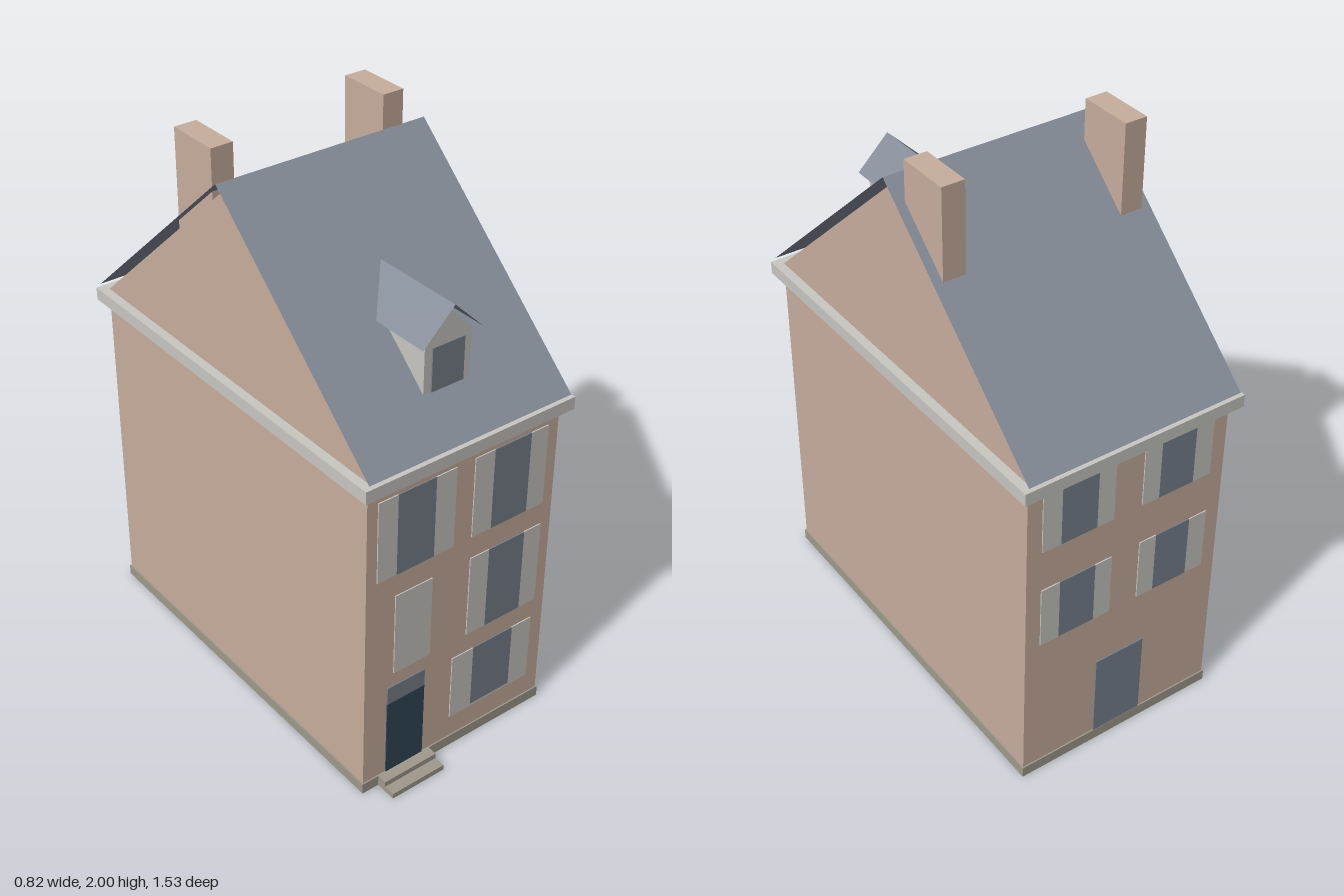
import * as THREE from 'three';

const mat = (name, color, side = THREE.FrontSide) => {
  const m = new THREE.MeshStandardMaterial({ color, side });
  m.name = name;
  return m;
};

export function createModel() {
  const brick = mat('brick', 0xc8ae9e, THREE.DoubleSide);
  const slate = mat('slate', 0x848c97, THREE.DoubleSide);
  const trim = mat('pale trim', 0xc8c7c2, THREE.DoubleSide);
  const glass = mat('window glass', 0x79828d);
  const navy = mat('navy door', 0x314858);
  const stone = mat('stone', 0x9f9a8c);

  const house = new THREE.Group();
  house.name = 'townHouse';
  const ZC = -0.024;             // middle of the house in depth
  const WX = 0.38, WZ = 0.709;   // half width and half depth of the walls

  const add = (name, geometry, material, parent = house) => {
    const mesh = new THREE.Mesh(geometry, material);
    mesh.name = name;
    parent.add(mesh);
    return mesh;
  };
  // Box given by its limits on each axis
  const box = (name, material, [x0, x1], [y0, y1], [z0, z1], parent) => {
    const g = new THREE.BoxGeometry(x1 - x0, y1 - y0, z1 - z0);
    g.translate((x0 + x1) / 2, (y0 + y1) / 2, (z0 + z1) / 2);
    return add(name, g, material, parent);
  };
  const polygon = (points) => new THREE.Shape(points.map(([x, y]) => new THREE.Vector2(x, y)));
  const rect = (x, y) => polygon([[-x, -y], [x, -y], [x, y], [-x, y]]);
  // Open rectangular ring of walls standing on y = 0
  const ring = (name, material, x, z, thick, height) => {
    const shape = rect(x, z);
    shape.holes.push(rect(x - thick, z - thick));
    const g = new THREE.ExtrudeGeometry(shape, { depth: height, bevelEnabled: false });
    g.rotateX(-Math.PI / 2).translate(0, 0, ZC);
    return add(name, g, material);
  };
  // Flat upright shape in the z-y plane
  const sidePanel = (name, material, points, x, parent) => {
    const g = new THREE.ShapeGeometry(polygon(points.map(([z, y]) => [-z, y])));
    g.rotateY(Math.PI / 2).translate(x, 0, 0);
    return add(name, g, material, parent);
  };
  // Thin four-cornered sheet
  const sheet = (name, material, a, b, c, d, parent) => {
    const g = new THREE.BufferGeometry();
    g.setAttribute('position', new THREE.Float32BufferAttribute([a, b, c, a, c, d].flat(), 3));
    g.computeVertexNormals();
    return add(name, g, material, parent);
  };

  // Walls, plinth and cornice
  ring('walls', brick, WX, WZ, 0.005, 1.2);
  ring('plinth', stone, WX + 0.005, WZ + 0.005, 0.005, 0.04);
  box('cornice', trim, [-0.412, 0.412], [1.2, 1.245], [ZC - 0.742, ZC + 0.742]);

  // Front steps
  box('lowerStep', stone, [-0.32, -0.105], [0, 0.02], [0.69, 0.767]);
  box('upperStep', stone, [-0.32, -0.105], [0.02, 0.04], [0.69, 0.726]);

  // Gables and chimneys on both sides
  for (const s of [-1, 1]) {
    sidePanel('gable', brick, [[ZC + WZ, 1.245], [ZC - WZ, 1.245], [ZC, 1.885]], s * WX);
    box('chimney', brick, [s * 0.325 - 0.04, s * 0.325 + 0.04], [1.245, 2], [-0.285, -0.09]);
  }

  // Main roof slopes
  const RX = 0.397, RZ = 0.738, EAVE = 1.257, RIDGE = 1.92;
  sheet('frontRoof', slate, [-RX, EAVE, ZC + RZ], [RX, EAVE, ZC + RZ], [RX, RIDGE, ZC], [-RX, RIDGE, ZC]);
  sheet('backRoof', slate, [RX, EAVE, ZC - RZ], [-RX, EAVE, ZC - RZ], [-RX, RIDGE, ZC], [RX, RIDGE, ZC]);

  // Dormer
  const dormer = new THREE.Group();
  dormer.name = 'dormer';
  house.add(dormer);
  const roofZ = (y) => ZC + RZ * (RIDGE - y) / (RIDGE - EAVE);   // depth where the roof has height y
  const face = new THREE.ShapeGeometry(polygon([[-0.09, 1.36], [0.09, 1.36], [0.09, 1.55], [0, 1.64], [-0.09, 1.55]]));
  add('dormerFront', face.translate(0, 0, 0.58), trim, dormer);
  box('dormerWindow', glass, [-0.062, 0.062], [1.378, 1.53], [0.58, 0.585], dormer);
  for (const s of [-1, 1]) {
    sidePanel('dormerCheek', trim, [[0.58, 1.36], [0.58, 1.55], [roofZ(1.55), 1.55]], s * 0.09, dormer);
    const low = [[s * 0.117, 1.55, 0.604], [s * 0.117, 1.55, roofZ(1.55)]];
    const high = [[0, 1.665, roofZ(1.665)], [0, 1.665, 0.604]];
    const c = [...low, ...high];
    if (s < 0) c.reverse();
    sheet('dormerRoof', slate, ...c, dormer);
  }

  // Thin plates on the front (side 1) or back (side -1) wall
  const plate = (name, material, side, xs, ys) => {
    const z = ZC + side * WZ;
    return box(name, material, xs, ys, side > 0 ? [z, z + 0.004] : [z - 0.004, z]);
  };
  // Window pane with a shutter on each side
  const shutteredWindow = (side, x0, g0, g1, x1, y0, y1) => {
    plate('shutter', trim, side, [x0, g0], [y0, y1]);
    plate('windowPane', glass, side, [g0, g1], [y0, y1]);
    plate('shutter', trim, side, [g1, x1], [y0, y1]);
  };

  // Front wall
  shutteredWindow(1, -0.34, -0.265, -0.118, -0.038, 0.855, 1.155);
  shutteredWindow(1, 0.037, 0.115, 0.265, 0.337, 0.855, 1.155);
  shutteredWindow(1, 0.037, 0.115, 0.265, 0.337, 0.457, 0.77);
  shutteredWindow(1, -0.018, 0.072, 0.242, 0.327, 0.135, 0.382);
  plate('windowSill', trim, 1, [-0.018, 0.327], [0.127, 0.135]);
  plate('blindWindow', trim, 1, [-0.265, -0.118], [0.457, 0.77]);
  plate('frontDoor', navy, 1, [-0.288, -0.135], [0.04, 0.335]);
  plate('transomWindow', glass, 1, [-0.288, -0.135], [0.335, 0.403]);

  // Back wall
  for (const [y0, y1] of [[0.57, 0.8], [0.955, 1.17]]) {
    shutteredWindow(-1, -0.325, -0.255, -0.12, -0.055, y0, y1);
    shutteredWindow(-1, 0.055, 0.12, 0.255, 0.325, y0, y1);
  }
  plate('backDoor', glass, -1, [-0.095, 0.095], [0.04, 0.36]);

  return house;
}
